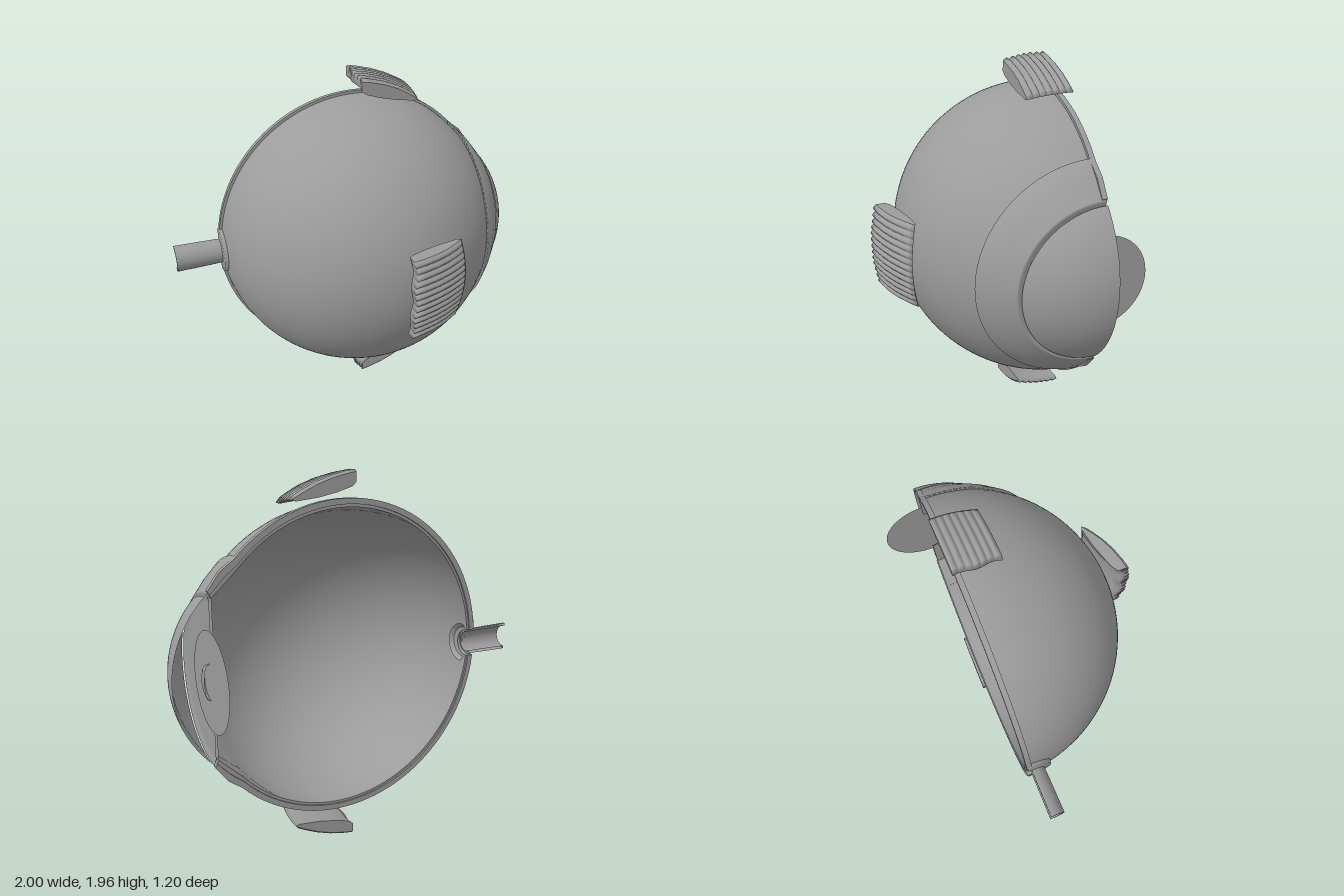
import * as THREE from 'three';

const mat = new THREE.MeshStandardMaterial({ color: 0x9c9c9c, side: THREE.DoubleSide });
const CX = 0.08; // centre of the ball along the axis

// Half surface of revolution about the x axis, profile given as [x, radius]
function halfLathe(name, profile, segments = 64) {
  const pts = profile.map(([x, r]) => new THREE.Vector2(r, x));
  const geo = new THREE.LatheGeometry(pts, segments, -Math.PI / 2, Math.PI);
  geo.rotateZ(-Math.PI / 2);
  const mesh = new THREE.Mesh(geo, mat);
  mesh.name = name;
  return mesh;
}

// Arc of the ball profile from the nerve hole to the front crease
function ballArc(R, hole, xEnd, n = 40) {
  const a0 = Math.PI - Math.asin(hole / R);
  const a1 = Math.acos((xEnd - CX) / R);
  const pts = [];
  for (let i = 0; i <= n; i++) {
    const a = a0 + (a1 - a0) * i / n;
    pts.push([CX + R * Math.cos(a), R * Math.sin(a)]);
  }
  return pts;
}

// Flat band that follows the cut edge, between two profiles
function cutBand(name, outer, inner, z, depth) {
  const group = new THREE.Group();
  group.name = name;
  for (const s of [1, -1]) {
    const pts = [...outer, ...[...inner].reverse()].map(([x, r]) => new THREE.Vector2(x, s * r));
    const geo = new THREE.ExtrudeGeometry(new THREE.Shape(pts), { depth, bevelEnabled: false });
    geo.translate(0, 0, z);
    group.add(new THREE.Mesh(geo, mat));
  }
  return group;
}

// Ribbed muscle pad facing +z: a tapered section swept sideways along a shallow arc
function musclePad(name, from, to, ribs) {
  const top = [[0.045, 0.942], [0.1, 0.933], [0.18, 0.913], [0.26, 0.885], [0.33, 0.852], [0.375, 0.828], [0.395, 0.814]];
  const under = [[0.37, 0.808], [0.25, 0.823], [0.15, 0.845], [0.07, 0.87], [0.045, 0.89]];
  const ring = [...top, ...under], m = ring.length, n = ribs * 8, arcR = 0.94;
  const pos = [], idx = [];
  for (let i = 0; i <= n; i++) {
    const t = i / n, a = from + (to - from) * t;
    const bump = Math.abs(Math.sin(t * ribs * Math.PI));
    const wave = 0.006 * Math.sin(t * ribs * 1.3);
    const tip = 0.45 * a * a; // the thin end curves back towards the sides
    ring.forEach(([x, r], j) => {
      const lift = j < top.length - 1 ? 0.012 * bump - 0.002 : 0;
      const xx = x + (j === 0 || j === m - 1 ? wave : 0) - tip * Math.max(0, x - 0.2) / 0.195;
      pos.push(xx, arcR * Math.sin(a), r + lift - arcR * (1 - Math.cos(a)));
    });
  }
  for (let i = 0; i < n; i++) {
    for (let j = 0; j < m; j++) {
      const a = i * m + j, b = i * m + (j + 1) % m;
      idx.push(a, b, a + m, b, b + m, a + m);
    }
  }
  // end caps
  const caps = THREE.ShapeUtils.triangulateShape(ring.map(([x, r]) => new THREE.Vector2(x, r)), []);
  for (const base of [0, n * m]) {
    const start = pos.length / 3;
    for (let k = 0; k < m * 3; k++) pos.push(pos[base * 3 + k]);
    for (const [a, b, c] of caps) {
      if (base) idx.push(start + a, start + c, start + b);
      else idx.push(start + a, start + b, start + c);
    }
  }
  const geo = new THREE.BufferGeometry();
  geo.setAttribute('position', new THREE.Float32BufferAttribute(pos, 3));
  geo.setIndex(idx);
  geo.computeVertexNormals();
  const mesh = new THREE.Mesh(geo, mat);
  mesh.name = name;
  return mesh;
}

export function createModel() {
  const eye = new THREE.Group();
  eye.name = 'eyeCutaway';

  // Outer and inner walls of the ball
  const outer = ballArc(0.815, 0.075, 0.67), inner = ballArc(0.785, 0.075, 0.66);
  eye.add(halfLathe('outerWall', outer));
  eye.add(halfLathe('innerWall', inner));

  // Tapered collar in front of the crease, with a lip round the opening
  const frontOuter = [[0.67, 0.584], [0.745, 0.512], [0.814, 0.43]];
  const frontInner = [[0.66, 0.528], [0.72, 0.47], [0.795, 0.4]];
  eye.add(halfLathe('frontCollar', [[0.67, 0.56], ...frontOuter]));
  eye.add(halfLathe('frontCollarLining', frontInner));
  eye.add(halfLathe('openingLip', [[0.814, 0.43], [0.818, 0.424], [0.814, 0.415], [0.808, 0.385]]));

  // Rim along the cut, in two layers
  const grow = (p, k) => p.map(([x, r]) => [CX + (x - CX) * k, r * k]);
  const fullOuter = [...outer, ...frontOuter.slice(1)], fullInner = [...inner, ...frontInner.slice(1)];
  const rimOuter = [...grow(outer, 1.018), [0.752, 0.52], [0.814, 0.435]];
  const mid = fullOuter.map(([x, r], i) => [(x + fullInner[i][0]) / 2, (r + fullInner[i][1]) / 2]);
  eye.add(cutBand('outerRim', rimOuter, mid, -0.005, 0.028));
  eye.add(cutBand('innerRim', mid, fullInner, 0.004, 0.02));

  // Clear front dome, separated from the ball by a narrow gap
  const dome = [], R = 0.575, c = 0.425, a0 = Math.acos((0.829 - c) / R);
  for (let i = 0; i <= 24; i++) {
    const a = a0 * (1 - i / 24);
    dome.push([c + R * Math.cos(a), R * Math.sin(a)]);
  }
  eye.add(halfLathe('frontDome', dome));

  // Iris: a half ring across the opening, with a round pupil
  eye.add(halfLathe('iris', [[0.795, 0.4], [0.795, 0.2], [0.807, 0.2], [0.807, 0.4]]));

  // Thin round plate behind the dome with a small lens on its face
  const plate = new THREE.Mesh(new THREE.CircleGeometry(0.25, 64), mat);
  plate.name = 'roundPlate';
  plate.rotation.y = Math.PI / 2;
  plate.position.x = 0.815;
  eye.add(plate);
  eye.add(halfLathe('lens', [[0.816, 0.09], [0.832, 0.085], [0.842, 0.06], [0.847, 0]], 32));

  // Nerve: an open half tube with a flared root and a collar
  const nerve = new THREE.Group();
  nerve.name = 'nerve';
  nerve.add(halfLathe('nerveTube', [[-1, 0.077], [-0.86, 0.075], [-0.74, 0.072], [-0.7, 0.085], [-0.68, 0.11]], 24));
  nerve.add(halfLathe('nerveLining', [[-1, 0.077], [-1, 0.062], [-0.72, 0.058]], 24));
  nerve.position.z = 0.018;
  eye.add(nerve);
  eye.add(halfLathe('nerveCollar', [[-0.715, 0.135], [-0.745, 0.13], [-0.748, 0.075]], 32));

  // Ribbed muscle pads: whole one in front, cut ones above and below
  eye.add(musclePad('frontMuscle', -0.248, 0.248, 13));
  const upper = musclePad('upperMuscle', -0.23, 0.02, 7);
  upper.rotation.x = -Math.PI / 2;
  upper.position.y = 0.014;
  const lower = musclePad('lowerMuscle', -0.02, 0.23, 7);
  lower.rotation.x = Math.PI / 2;
  lower.position.y = -0.046;
  eye.add(upper, lower);

  eye.position.set(0, 1, -0.35);
  const model = new THREE.Group();
  model.add(eye);
  return model;
}
